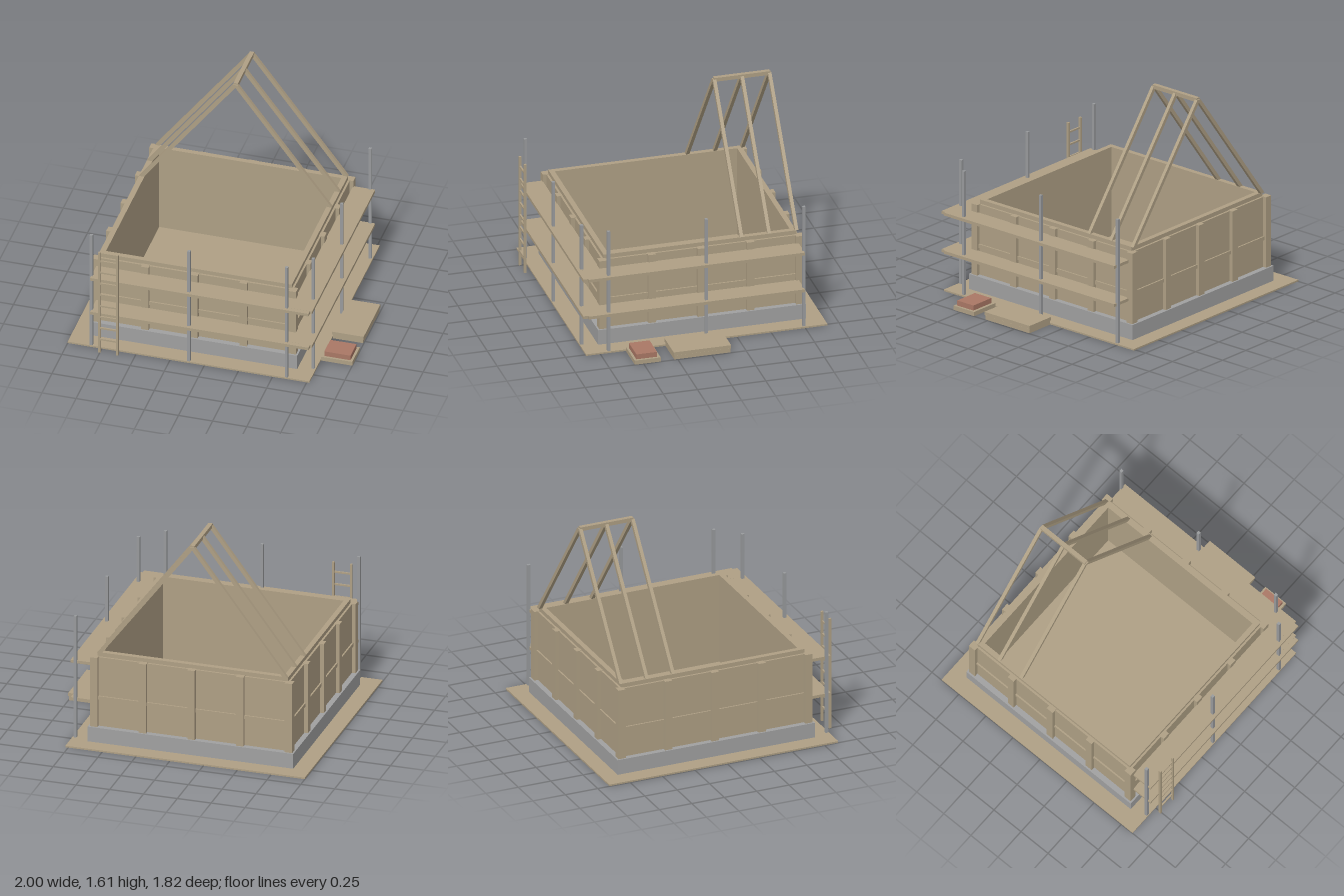
import * as THREE from 'three';

const CX = -0.115, CZ = -0.029; // centre of the house

export function createModel() {
  const model = new THREE.Group();
  model.name = 'houseUnderConstruction';

  const mat = (name, color) => {
    const m = new THREE.MeshStandardMaterial({ color });
    m.name = name;
    return m;
  };
  const wood = mat('wood', 0xae9f84);
  const concrete = mat('concrete', 0xa0a0a0);
  const steel = mat('steel', 0x989a9c);
  const brick = mat('brick', 0xa97765);

  const group = (name) => {
    const g = new THREE.Group();
    g.name = name;
    model.add(g);
    return g;
  };

  // Box given by its limits on each axis
  const box = (parent, name, material, [x0, x1], [y0, y1], [z0, z1]) => {
    const m = new THREE.Mesh(new THREE.BoxGeometry(x1 - x0, y1 - y0, z1 - z0), material);
    m.name = name;
    m.position.set((x0 + x1) / 2, (y0 + y1) / 2, (z0 + z1) / 2);
    parent.add(m);
    return m;
  };

  // Square ring around the house centre, standing between two heights
  const ring = (name, material, outer, inner, y0, y1) => {
    const square = (path, h) => path.moveTo(-h, -h).lineTo(h, -h).lineTo(h, h).lineTo(-h, h).closePath();
    const shape = square(new THREE.Shape(), outer);
    shape.holes.push(square(new THREE.Path(), inner));
    const geo = new THREE.ExtrudeGeometry(shape, { depth: y1 - y0, bevelEnabled: false });
    geo.rotateX(-Math.PI / 2);
    const m = new THREE.Mesh(geo, material);
    m.name = name;
    m.position.set(CX, y0, CZ);
    model.add(m);
  };

  // Site base, foundation and walls
  box(model, 'groundBoard', wood, [-1, 0.77], [0, 0.012], [-0.91, 0.855]);
  ring('foundation', concrete, 0.76, 0.672, -0.001, 0.125);
  ring('wallPanels', wood, 0.72, 0.667, 0.012, 0.653);
  ring('middleRail', wood, 0.731, 0.7, 0.33, 0.357);
  ring('topPlate', wood, 0.705, 0.667, 0.653, 0.684);

  // Wall posts around all four sides
  const posts = group('wallPosts');
  const p = 0.0275;
  for (let i = -2; i <= 2; i++) {
    for (let j = -2; j <= 2; j++) {
      if (Math.abs(i) !== 2 && Math.abs(j) !== 2) continue;
      const x = CX + i * 0.36, z = CZ + j * 0.36;
      box(posts, 'wallPost', wood, [x - p, x + p], [0.125, 0.656], [z - p, z + p]);
    }
  }

  // Three pairs of rafters with a ridge beam
  const roof = group('roofFrame');
  const d = 0.017; // half of the rafter's level cut
  for (const z of [-0.738, -0.537, -0.335]) {
    for (const s of [-1, 1]) {
      const foot = 0.688 * s, y0 = 0.684, y1 = 1.592;
      const pts = [[foot - d, y0], [foot + d, y0], [d, y1], [-d, y1]];
      const shape = new THREE.Shape(pts.map(([x, y]) => new THREE.Vector2(x, y)));
      const rafter = new THREE.Mesh(
        new THREE.ExtrudeGeometry(shape, { depth: 0.025, bevelEnabled: false }), wood);
      rafter.name = 'rafter';
      rafter.position.set(CX, 0, z - 0.0125);
      roof.add(rafter);
    }
  }
  box(roof, 'ridgeBeam', wood, [CX - 0.016, CX + 0.016], [1.575, 1.604], [-0.742, -0.331]);

  // Scaffold on the front and left sides
  const scaffold = group('scaffold');
  const pole = (x, z) =>
    box(scaffold, 'scaffoldPole', steel, [x - 0.0105, x + 0.0105], [0, 0.945], [z - 0.0105, z + 0.0105]);
  for (const k of [-1, 0, 1]) {
    pole(CX + k * 0.715, 0.84);
    pole(0.75, CZ + k * 0.714);
  }
  for (const y of [0.29, 0.578]) {
    box(scaffold, 'frontDeck', wood, [-0.83, 0.77], [y, y + 0.022], [0.715, 0.875]);
    box(scaffold, 'sideDeck', wood, [0.625, 0.786], [y + 0.0005, y + 0.0225], [-0.741, 0.84]);
  }

  // Ladder
  const ladder = group('ladder');
  for (const x of [-0.753, -0.622]) {
    box(ladder, 'ladderRail', wood, [x - 0.008, x + 0.008], [0.002, 0.85], [0.892, 0.91]);
  }
  for (let i = 0; i < 8; i++) {
    const y = 0.113 + i * 0.0945;
    box(ladder, 'ladderRung', wood, [-0.75, -0.625], [y - 0.006, y + 0.006], [0.895, 0.907]);
  }

  // Building materials beside the house
  const supplies = group('buildingMaterials');
  box(supplies, 'lowerBoards', wood, [0.775, 0.995], [0, 0.03], [-0.135, 0.275]);
  box(supplies, 'upperBoards', wood, [0.77, 1], [0.033, 0.058], [-0.14, 0.28]);
  box(supplies, 'boardSpacer', wood, [0.785, 0.985], [0.029, 0.034], [-0.12, 0.26]);
  box(supplies, 'pallet', wood, [0.77, 1], [0, 0.032], [0.375, 0.565]);
  box(supplies, 'brickStack', brick, [0.79, 0.982], [0.032, 0.07], [0.397, 0.548]);

  return model;
}
